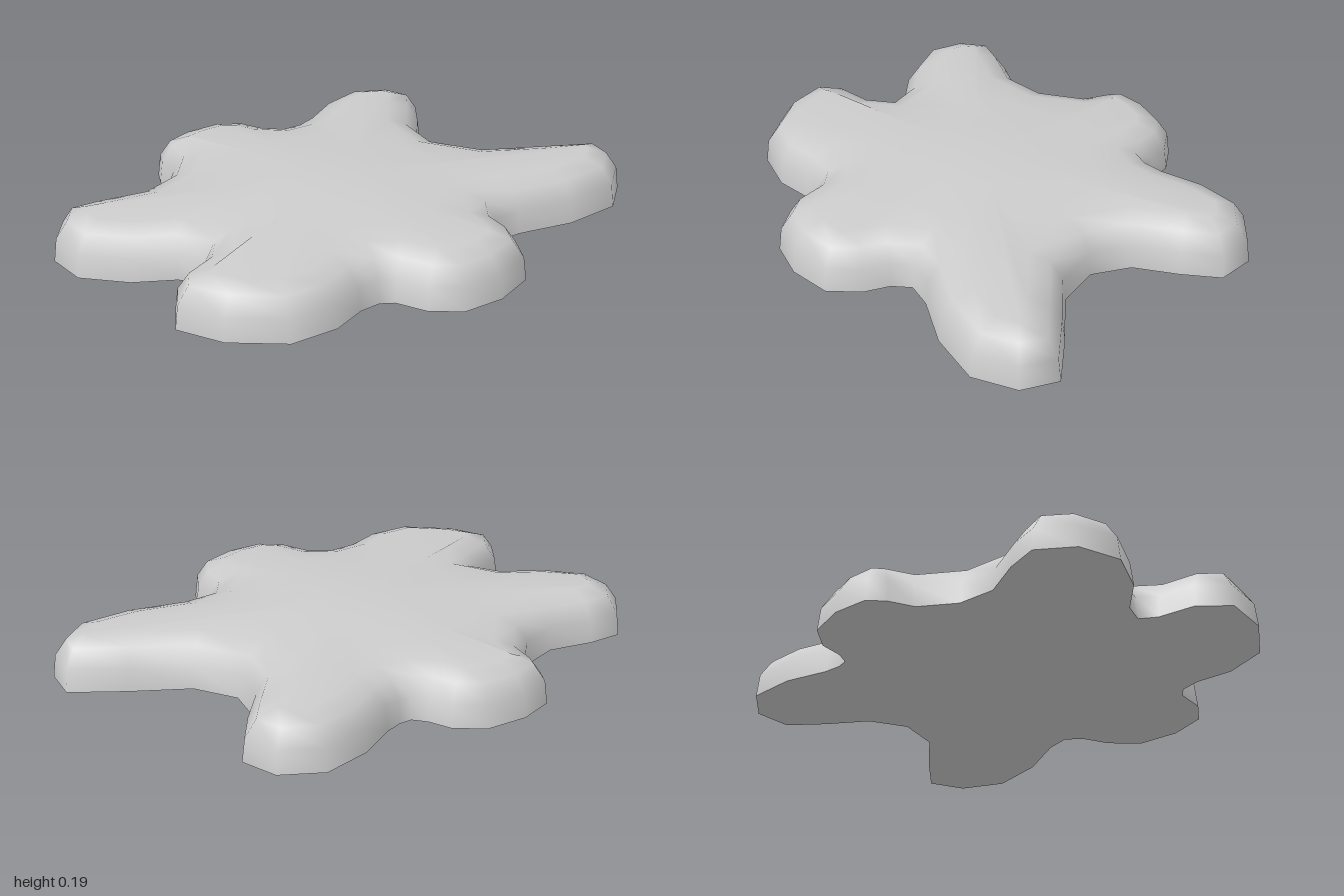
import * as THREE from 'three';

// Footprint of the six-lobed blob, as x, z pairs running anticlockwise from above
const OUTLINE = [
  // left lobe tip, back-left lobe
  1, 0.05, 0.97, -0.08, 0.77, -0.12, 0.56, -0.15, 0.43, -0.25, 0.405, -0.39,
  0.46, -0.54, 0.495, -0.675, 0.41, -0.78, 0.255, -0.8, 0.11, -0.705, 0.01, -0.585,
  // back notch, back-right lobe
  -0.04, -0.545, -0.08, -0.53, -0.13, -0.555, -0.19, -0.615, -0.3, -0.645, -0.44, -0.6,
  -0.54, -0.52, -0.547, -0.45, -0.525, -0.36, -0.575, -0.23,
  // right lobe
  -0.68, -0.145, -0.84, -0.12, -0.955, -0.08, -1, 0.05, -0.945, 0.19, -0.79, 0.27,
  -0.64, 0.295, -0.57, 0.34,
  // front-right lobe, front notch
  -0.595, 0.4, -0.69, 0.49, -0.715, 0.61, -0.59, 0.73, -0.4, 0.795, -0.24, 0.745,
  -0.14, 0.66, -0.07, 0.63, -0.02, 0.64,
  // front-left lobe, back to the start
  0.06, 0.72, 0.17, 0.755, 0.31, 0.71, 0.43, 0.61, 0.447, 0.49, 0.425, 0.4,
  0.44, 0.33, 0.53, 0.295, 0.73, 0.27, 0.92, 0.19,
];
const CENTRE = new THREE.Vector2(-0.05, 0.05);

const points = [];
for (let i = 0; i < OUTLINE.length; i += 2) points.push(new THREE.Vector2(OUTLINE[i], OUTLINE[i + 1]));
const COUNT = points.length;

// Outline moved inwards by a fixed distance along the corner bisectors
function inset(distance) {
  return points.map((p, i) => {
    const before = points[(i + COUNT - 1) % COUNT], after = points[(i + 1) % COUNT];
    const d1 = p.clone().sub(before).normalize(), d2 = after.clone().sub(p).normalize();
    const t = d1.add(d2).normalize();
    return new THREE.Vector2(p.x + t.y * distance, p.y - t.x * distance);
  });
}

// Ring pulled in to a circle around the centre
function hub(ring, radius) {
  return ring.map((p) => {
    const d = p.clone().sub(CENTRE);
    return d.setLength(Math.min(radius, d.length() * 0.92)).add(CENTRE);
  });
}

// Stack of rings joined by quads and closed by a fan at the centre
function skin(rings, centreY, flip) {
  const position = [], index = [];
  const tri = (a, b, c) => (flip ? index.push(a, c, b) : index.push(a, b, c));
  rings.forEach(([ring, y]) => ring.forEach((p) => position.push(p.x, y, p.y)));
  position.push(CENTRE.x, centreY, CENTRE.y);
  for (let r = 0; r < rings.length; r++) {
    for (let i = 0; i < COUNT; i++) {
      const a = r * COUNT + i, b = r * COUNT + (i + 1) % COUNT;
      if (r === rings.length - 1) {
        tri(a, b, rings.length * COUNT);
      } else {
        tri(a, b, a + COUNT);
        tri(b, b + COUNT, a + COUNT);
      }
    }
  }
  const geometry = new THREE.BufferGeometry();
  geometry.setAttribute('position', new THREE.Float32BufferAttribute(position, 3));
  geometry.setIndex(index);
  geometry.computeVertexNormals();
  return geometry;
}

export function createModel() {
  const group = new THREE.Group();
  group.name = 'splat';
  const material = new THREE.MeshStandardMaterial({ color: 0xcccccc });
  const add = (name, geometry) => {
    const mesh = new THREE.Mesh(geometry, material);
    mesh.name = name;
    group.add(mesh);
  };

  // Rounded walls and gently domed top
  const shoulder = inset(0.12);
  add('roundedTop', skin([
    [points, 0],
    [inset(0.01), 0.08],
    [inset(0.05), 0.138],
    [shoulder, 0.162],
    [hub(shoulder, 0.38), 0.174],
    [hub(shoulder, 0.2), 0.192],
  ], 0.194, false));

  // Flat underside with a crisp edge
  add('flatBase', skin([[points, 0]], 0, true));
  return group;
}
